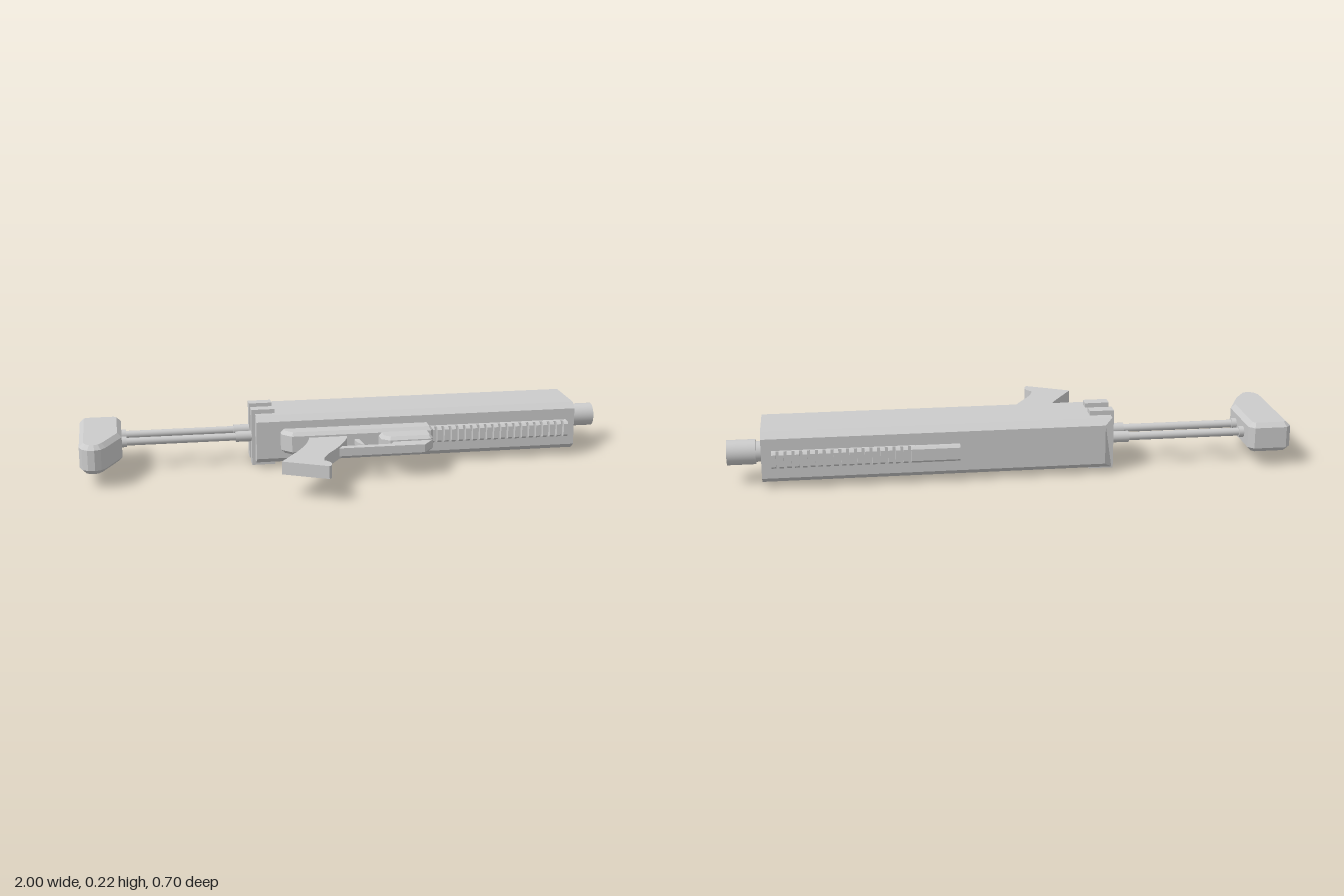
import * as THREE from 'three';

const MID = 0.109; // mid plane of the model, which lies on its side
const mat = new THREE.MeshStandardMaterial({ color: 0xcccccc, flatShading: true });
const smooth = new THREE.MeshStandardMaterial({ color: 0xcccccc, side: THREE.DoubleSide });

function add(parent, name, geometry, material = mat) {
  const mesh = new THREE.Mesh(geometry, material);
  mesh.name = name;
  parent.add(mesh);
  return mesh;
}

// Plate with an (x, z) outline, thickness along y, optional chamfer
function plate(shape, thick, bevel = 0) {
  const g = new THREE.ExtrudeGeometry(shape, {
    depth: thick - 2 * bevel, bevelEnabled: bevel > 0, bevelThickness: bevel,
    bevelSize: bevel, bevelOffset: -bevel, bevelSegments: 1, curveSegments: 8,
  });
  g.rotateX(Math.PI / 2);
  return g.translate(0, MID + thick / 2 - bevel, 0);
}

const outline = (pts) => new THREE.Shape(pts.map(([x, z]) => new THREE.Vector2(x, z)));

function box(x0, x1, y0, y1, z0, z1) {
  return new THREE.BoxGeometry(x1 - x0, y1 - y0, z1 - z0)
    .translate((x0 + x1) / 2, (y0 + y1) / 2, (z0 + z1) / 2);
}

// Round bar along x
function bar(x0, x1, r, z, sides = 20) {
  return new THREE.CylinderGeometry(r, r, x1 - x0, sides)
    .rotateZ(-Math.PI / 2).translate((x0 + x1) / 2, MID, z);
}

// Bar along x with a chamfered (z, y) section
function chamferedBar(x0, x1, z0, z1, y0, y1, cz, cy) {
  const s = outline([[-z1, y0 + cy], [-z1 + cz, y0], [-z0 - cz, y0], [-z0, y0 + cy],
    [-z0, y1 - cy], [-z0 - cz, y1], [-z1 + cz, y1], [-z1, y1 - cy]]);
  return new THREE.ExtrudeGeometry(s, { depth: x1 - x0, bevelEnabled: false })
    .rotateY(Math.PI / 2).translate(x0, 0, 0);
}

// Toothed accessory rail: base strip and evenly spaced teeth
function rail(parent, name, x0, x1, count, zBase, zMid, zTip) {
  const g = new THREE.Group();
  g.name = name;
  parent.add(g);
  const lo = Math.min, hi = Math.max;
  add(g, 'railBase', box(x0, x1, 0.08, 0.138, lo(zBase, zMid), hi(zBase, zMid)));
  const pitch = (x1 - x0) / (count - 0.4);
  for (let i = 0; i < count; i++) {
    const x = x0 + i * pitch;
    add(g, 'railTooth', chamferedBar(x, x + pitch * 0.6, lo(zBase, zTip), hi(zBase, zTip), 0.08, 0.138, 0.008, 0.008));
  }
  return g;
}

export function createModel() {
  const model = new THREE.Group();

  // Main housing, its rear back corner cut off
  const body = chamferedBar(-0.35, 0.88, -0.325, -0.075, 0.018, 0.2, 0.025, 0.02);
  const p = body.attributes.position;
  for (let i = 0; i < p.count; i++) {
    if (p.getX(i) < 0 && p.getZ(i) < -0.32) p.setX(i, -0.322);
  }
  body.computeVertexNormals();
  add(model, 'housing', body);

  // Barrel: neck and hollow muzzle
  add(model, 'barrelNeck', bar(0.87, 0.905, 0.036, -0.238, 32), smooth);
  const muzzle = [[0.036, 0.9], [0.044, 0.9], [0.044, 0.9], [0.044, 1], [0.044, 1], [0.037, 1],
    [0.037, 1], [0.037, 0.906], [0.037, 0.906], [0, 0.906]];
  add(model, 'muzzle', new THREE.LatheGeometry(muzzle.map(([r, x]) => new THREE.Vector2(r, x)), 32)
    .rotateZ(-Math.PI / 2).translate(0, MID, -0.238), smooth);

  // Rails on both long sides
  rail(model, 'lowerRail', 0.305, 0.845, 20, -0.08, -0.058, -0.037);
  rail(model, 'upperRail', 0.35, 0.845, 19, -0.32, -0.333, -0.351);
  add(model, 'upperRailStrip', chamferedBar(0.195, 0.356, -0.351, -0.32, 0.08, 0.138, 0.008, 0.008));

  // Two telescoping stock rods with clamps, sockets and collars
  for (const z of [-0.243, -0.148]) {
    const g = new THREE.Group();
    g.name = 'stockRod';
    model.add(g);
    add(g, 'clamp', box(-0.363, -0.276, 0.001, 0.216, z - 0.022, z + 0.022));
    add(g, 'socket', bar(-0.422, -0.355, 0.02, z, 16), smooth);
    add(g, 'rod', bar(-0.85, -0.41, 0.0145, z), smooth);
    add(g, 'collar', bar(-0.85, -0.828, 0.02, z), smooth);
  }

  // Shoulder stock
  add(model, 'buttStock', plate(outline([[-1, -0.31], [-0.982, -0.328], [-0.866, -0.328], [-0.846, -0.308],
    [-0.846, -0.08], [-0.905, 0.045], [-0.922, 0.068], [-0.945, 0.077], [-0.97, 0.073],
    [-0.99, 0.055], [-1, 0.025]]), 0.108, 0.016));

  // Lower receiver and the block in front of the trigger
  add(model, 'lowerReceiver', plate(outline([[-0.26, -0.12], [0.31, -0.12], [0.31, -0.02],
    [0.3, -0.008], [-0.225, -0.008], [-0.26, -0.045]]), 0.086, 0.013));
  add(model, 'frontBlock', plate(outline([[0.1, -0.03], [0.295, -0.03], [0.295, 0.05],
    [0.284, 0.066], [0.13, 0.066], [0.1, 0.042]]), 0.063, 0.012));

  // Trigger guard, sloping up into the front block
  add(model, 'triggerGuard', plate(outline([[-0.09, 0.09], [0.13, 0.09], [0.146, 0.06],
    [0.292, 0.06], [0.25, 0.119], [-0.09, 0.119]]), 0.03));

  // Curved trigger
  const trigger = new THREE.Shape();
  trigger.moveTo(0.008, -0.02);
  trigger.quadraticCurveTo(0.005, 0.04, 0.035, 0.068);
  trigger.lineTo(0.026, 0.07);
  trigger.quadraticCurveTo(0.032, 0.04, 0.025, -0.02);
  add(model, 'trigger', plate(trigger, 0.018));

  // Raked pistol grip with a flared heel
  const grip = new THREE.Shape();
  grip.moveTo(-0.16, -0.02);
  grip.lineTo(-0.018, -0.02);
  grip.lineTo(-0.022, 0.01);
  grip.quadraticCurveTo(-0.05, 0.1, -0.11, 0.185);
  grip.quadraticCurveTo(-0.15, 0.25, -0.147, 0.28);
  grip.quadraticCurveTo(-0.128, 0.295, -0.127, 0.32);
  grip.quadraticCurveTo(-0.128, 0.342, -0.14, 0.351);
  grip.lineTo(-0.297, 0.27);
  grip.lineTo(-0.225, 0.155);
  grip.quadraticCurveTo(-0.17, 0.06, -0.16, -0.02);
  add(model, 'grip', plate(grip, 0.047));

  return model;
}
